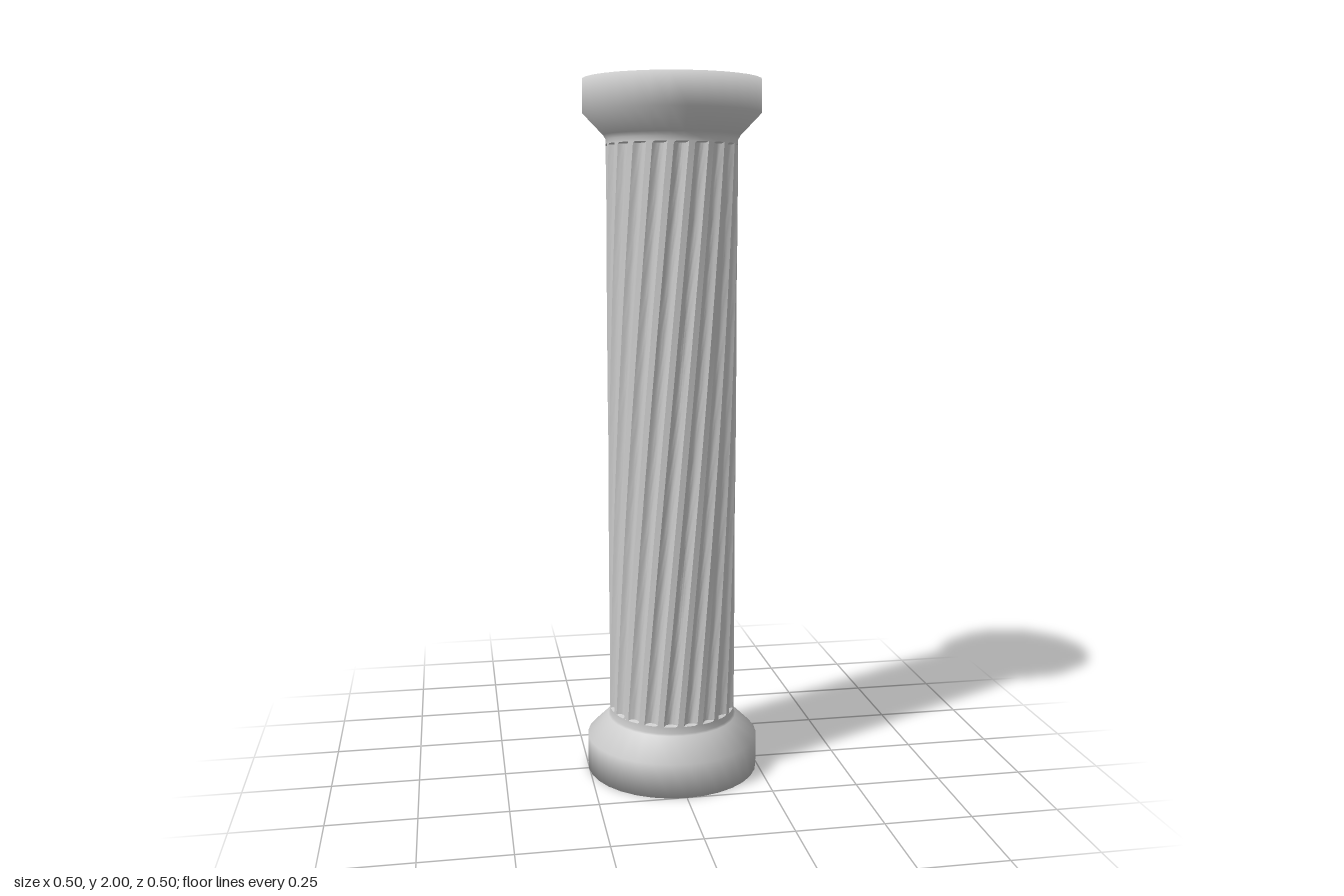
import * as THREE from 'three';
import { toCreasedNormals } from 'three/addons/utils/BufferGeometryUtils.js';

const R = 0.185;             // shaft radius
const FLUTES = 20;
const STEPS = 8;             // points around each flute
const DEPTH = 0.012;
const TWIST = Math.PI / 4;   // total turn of the flutes
const Y0 = 0.185, Y1 = 1.825;

// Depth of the groove at step k: a flat fillet, then a hollow arc
function grooveDepth(k) {
  const t = (k - 1) / (STEPS - 1);
  return k === 0 ? 0 : DEPTH * 4 * t * (1 - t);
}

// Twisted, fluted tube with blunt flute ends
function shaftGeometry() {
  const cols = FLUTES * STEPS, rows = 32;
  const levels = [{ y: Y0, cut: 0 }];
  for (let i = 0; i <= rows; i++) {
    levels.push({ y: Y0 + 0.004 + (Y1 - Y0 - 0.008) * i / rows, cut: 1 });
  }
  levels.push({ y: Y1, cut: 0 });

  const pos = [], idx = [];
  levels.forEach(({ y, cut }) => {
    const turn = TWIST * ((y - Y0) / (Y1 - Y0) - 0.5);
    for (let f = 0; f < FLUTES; f++) {
      for (let k = 0; k < STEPS; k++) {
        // the fillet takes 30% of the period, the arc the rest
        const u = k === 0 ? 0 : 0.3 + 0.7 * (k - 1) / (STEPS - 1);
        const a = turn + (f + u) / FLUTES * Math.PI * 2;
        const r = R - cut * grooveDepth(k);
        pos.push(r * Math.sin(a), y, r * Math.cos(a));
      }
    }
  });
  for (let j = 0; j < levels.length - 1; j++) {
    for (let i = 0; i < cols; i++) {
      const n = (i + 1) % cols;
      const a = j * cols + i, b = j * cols + n;
      idx.push(a, b, b + cols, a, b + cols, a + cols);
    }
  }
  const g = new THREE.BufferGeometry();
  g.setAttribute('position', new THREE.Float32BufferAttribute(pos, 3));
  g.setIndex(idx);
  return toCreasedNormals(g, 0.45);
}

function lathe(points) {
  return new THREE.LatheGeometry(points.map(([x, y]) => new THREE.Vector2(x, y)), 32);
}

export function createModel() {
  const group = new THREE.Group();
  const material = new THREE.MeshStandardMaterial({ color: 0xcccccc });
  const add = (name, geometry) => {
    const mesh = new THREE.Mesh(geometry, material);
    mesh.name = name;
    group.add(mesh);
  };

  // Round plinth with a sloped shoulder and plain band
  add('base', lathe([[0, 0], [0.252, 0], [0.252, 0.1], [0.19, 0.16], [R, 0.165], [R, Y0]]));

  // Fluted column shaft
  add('shaft', shaftGeometry());

  // Flared capital closed on top
  add('capital', lathe([[R, Y1], [R, 1.838], [0.192, 1.85], [0.25, 1.91], [0.25, 2], [0, 2]]));

  return group;
}
